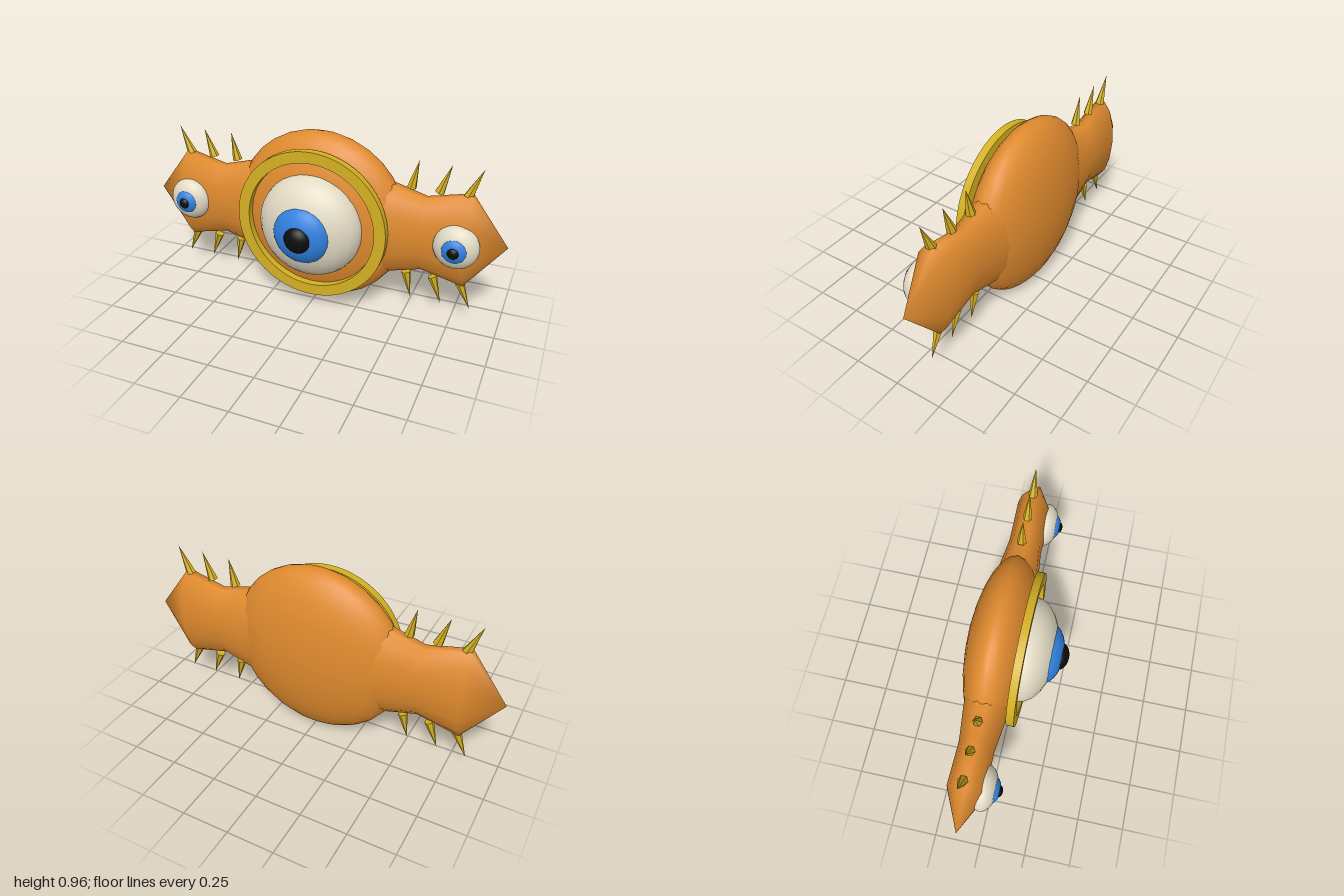
import * as THREE from 'three';
import { mergeVertices, toCreasedNormals } from 'three/addons/utils/BufferGeometryUtils.js';

const CY = 0.483, CZ = -0.093; // centre of the body

function material(name, color, flatShading = false) {
  const m = new THREE.MeshStandardMaterial({ color, flatShading });
  m.name = name;
  return m;
}

function addMesh(parent, name, geometry, mat) {
  const mesh = new THREE.Mesh(geometry, mat);
  mesh.name = name;
  parent.add(mesh);
  return mesh;
}

// Ellipsoid with radius r in x and y, and depth d in z
function ellipsoid(r, d) {
  return new THREE.SphereGeometry(1, 24, 16).scale(r, r, d);
}

// Waisted, flattened arm running along +x and ending in a point
function armGeometry() {
  const profile = [[0.285, 0.25], [0.256, 0.4], [0.208, 0.575], [0.262, 0.8], [0, 1]];
  const geo = new THREE.LatheGeometry(profile.map(([r, x]) => new THREE.Vector2(r, x)), 14);
  geo.rotateZ(-Math.PI / 2);
  geo.deleteAttribute('uv');
  geo.deleteAttribute('normal');
  const p = geo.attributes.position;
  for (let i = 0; i < p.count; i++) {
    // the waist is flattened less than the outer end
    const t = THREE.MathUtils.clamp((p.getX(i) - 0.575) / 0.225, 0, 1);
    p.setZ(i, p.getZ(i) * THREE.MathUtils.lerp(0.445, 0.365, t));
  }
  const merged = mergeVertices(geo, 1e-4);
  merged.computeVertexNormals();
  return merged;
}

export function createModel() {
  const model = new THREE.Group();
  model.name = 'eyedBand';
  const orange = material('orange skin', 0xdf8a2e);
  const gold = material('gold', 0xd4b022, true);
  const white = material('eye white', 0xe2dac4);
  const blue = material('iris blue', 0x2f80de);
  const black = material('pupil black', 0x0c0c0c);

  // Body disc
  addMesh(model, 'body', ellipsoid(0.479, 0.175), orange).position.set(0, CY, CZ);

  // Ring around the main eye
  const ring = new THREE.Shape().absarc(0, 0, 0.415, 0, Math.PI * 2);
  ring.holes.push(new THREE.Path().absarc(0, 0, 0.353, 0, Math.PI * 2, true));
  const ringGeo = new THREE.ExtrudeGeometry(ring, { depth: 0.042, bevelEnabled: false, curveSegments: 48 });
  addMesh(model, 'eyeRing', toCreasedNormals(ringGeo, 0.6), gold).position.set(0, CY, 0.022);

  // Eyes: the side ones are smaller copies of the main one
  function addEye(name, x, z, scale) {
    const eye = new THREE.Group();
    eye.name = name;
    addMesh(eye, 'eyeball', ellipsoid(0.285, 0.17), white);
    addMesh(eye, 'iris', ellipsoid(0.161, 0.09), blue).position.z = 0.114;
    addMesh(eye, 'pupil', ellipsoid(0.073, 0.05), black).position.z = 0.182;
    eye.position.set(x, CY, z);
    eye.scale.setScalar(scale);
    model.add(eye);
  }
  addEye('mainEye', 0, 0.04, 1);

  // Spikes: base x, base height, tip x, tip height (from the centre line)
  const spikes = [[0.78, 0.243, 0.845, 0.397], [0.637, 0.243, 0.69, 0.397], [0.493, 0.245, 0.525, 0.397]];
  const arm = armGeometry();
  const up = new THREE.Vector3(0, 1, 0);

  for (const side of [1, -1]) {
    const label = side > 0 ? 'left' : 'right';
    const armMesh = addMesh(model, label + 'Arm', arm, orange);
    armMesh.position.set(0, CY, CZ);
    armMesh.rotation.y = side > 0 ? 0 : Math.PI;
    addEye(label + 'Eye', side * 0.758, -0.01, 0.414);

    for (const v of [1, -1]) {
      for (const [bx, by, tx, ty] of spikes) {
        const base = new THREE.Vector3(side * bx, CY + v * by, CZ);
        const tip = new THREE.Vector3(side * tx, CY + v * ty, CZ);
        const dir = tip.clone().sub(base);
        const cone = new THREE.ConeGeometry(0.026, dir.length(), 6);
        const spike = addMesh(model, label + (v > 0 ? 'TopSpike' : 'BottomSpike'), cone, gold);
        spike.position.copy(base).add(tip).multiplyScalar(0.5);
        spike.quaternion.setFromUnitVectors(up, dir.normalize());
      }
    }
  }
  return model;
}
